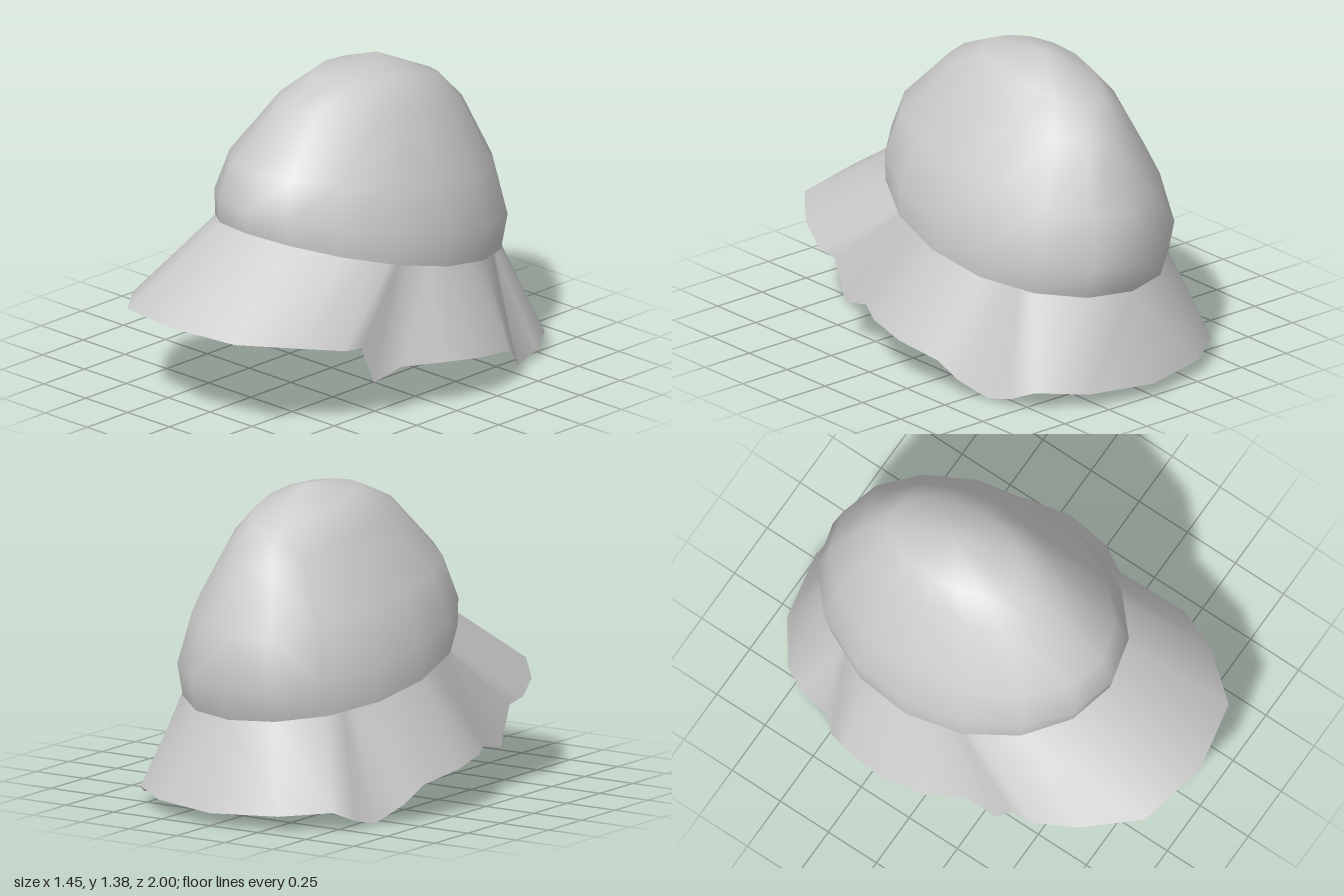
import * as THREE from 'three';

const SIDES = 16;

// Tilted oval ring: half width, front [z, y], back [z, y], height at the side
const rings = [
  { w: 0.535, f: [0.53, 0.76], b: [-0.86, 0.44], s: 0.56 }, // rim
  { w: 0.535, f: [0.545, 0.86], b: [-0.91, 0.58], s: 0.71 },
  { w: 0.46, f: [0.49, 1.02], b: [-0.86, 0.8], s: 0.93 },
  { w: 0.285, f: [0.25, 1.25], b: [-0.73, 1.08], s: 1.21 },
  { w: 0.185, f: [0.06, 1.335], b: [-0.6, 1.22], s: 1.31 },
];
const apex = [0, 1.375, -0.28];

function ringPoint({ w, f, b, s }, k) {
  const t = (k / SIDES) * Math.PI * 2, c = Math.cos(t);
  return [
    w * Math.sin(t),
    s + ((f[1] - b[1]) / 2) * c + ((f[1] + b[1]) / 2 - s) * c * c,
    (f[0] + b[0]) / 2 + ((f[0] - b[0]) / 2) * c,
  ];
}

// Point on the straight rim edge between two ring corners
function rimPoint(k) {
  const i = Math.floor(k), a = ringPoint(rings[0], i), b = ringPoint(rings[0], i + 1);
  return a.map((v, j) => v + (b[j] - v) * (k - i));
}

// Skin closed loops of equal length, lowest first, with mirrored diagonals
function loft(name, loops) {
  const n = loops[0].length, index = [];
  for (let r = 0; r < loops.length - 1; r++) {
    for (let i = 0; i < n; i++) {
      const j = (i + 1) % n;
      const a = r * n + i, b = r * n + j, c = b + n, d = a + n;
      if (i < n / 2) index.push(a, b, c, a, c, d);
      else index.push(a, b, d, b, c, d);
    }
  }
  return finish(name, loops.flat(), index);
}

function finish(name, points, index) {
  const geo = new THREE.BufferGeometry();
  geo.setAttribute('position', new THREE.Float32BufferAttribute(points.flat(), 3));
  geo.setIndex(index);
  geo.computeVertexNormals();
  const mesh = new THREE.Mesh(geo, new THREE.MeshStandardMaterial({ color: 0xcccccc, side: THREE.DoubleSide }));
  mesh.name = name;
  return mesh;
}

// Left half of the skirt, front to back: rim position, then lower edge x, y, z
const skirtHalf = [
  [0, 0, 0.455, 1],
  [1, 0.32, 0.44, 0.93],
  [2, 0.5, 0.41, 0.71],
  [2.5, 0.585, 0.37, 0.52],
  [2.85, 0.585, 0.355, 0.42],
  [3, 0.59, 0.18, 0.345],
  [3.2, 0.605, 0.215, 0.19],
  [3.6, 0.69, 0.215, 0.04],
  [4, 0.725, 0.19, -0.17],
  [4.6, 0.69, 0.155, -0.38],
  [5, 0.65, 0.08, -0.47],
  [5.5, 0.56, 0, -0.565],
  [5.7, 0.55, 0.035, -0.7],
  [6, 0.5, 0.08, -0.8],
  [7, 0.31, 0.065, -0.935],
  [8, 0, 0.055, -1],
];

export function createModel() {
  const group = new THREE.Group();
  group.name = 'hat';

  // Dome: rings skinned upward and closed with a fan to the apex
  const loops = rings.map((r) => Array.from({ length: SIDES }, (_, k) => ringPoint(r, k)));
  const dome = loft('dome', loops);
  const top = loops.length * SIDES, index = [...dome.geometry.index.array];
  for (let i = 0; i < SIDES; i++) index.push(top - SIDES + i, top - SIDES + ((i + 1) % SIDES), top);
  group.add(finish('dome', [...loops.flat(), apex], index));

  // Skirt: visor, flared ear flaps and neck guard in one mirrored strip
  const mirror = (p) => [-p[0], p[1], p[2]];
  const closed = (half) => [...half, ...half.slice(1, -1).reverse().map(mirror)];
  const lower = closed(skirtHalf.map((s) => s.slice(1)));
  const upper = closed(skirtHalf.map((s) => rimPoint(s[0])));
  group.add(loft('skirt', [lower, upper]));

  return group;
}
